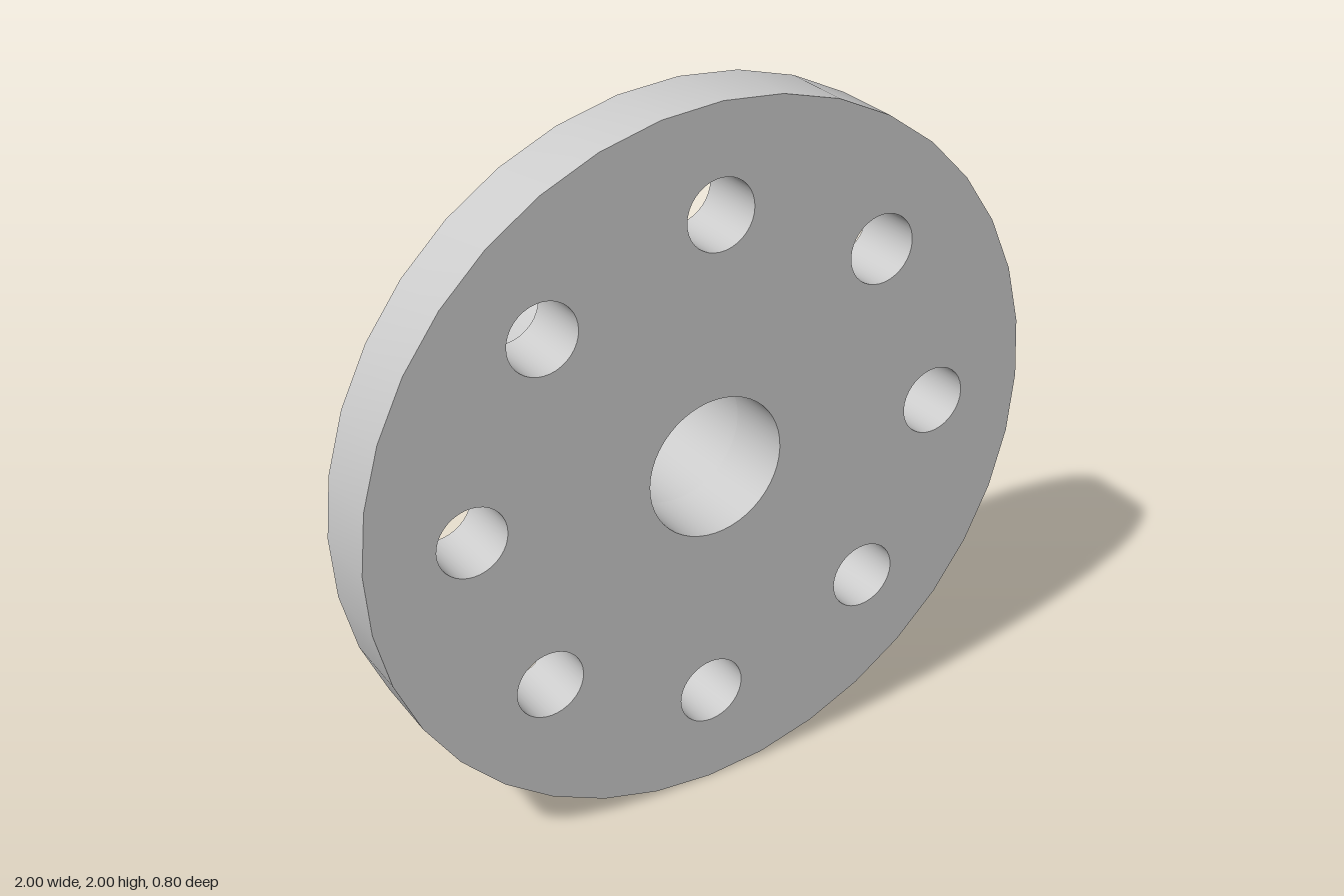
import * as THREE from 'three';
import { toCreasedNormals } from 'three/addons/utils/BufferGeometryUtils.js';

const CREASE = 0.6;

// Points of a regular polygon standing in for a circle
function circlePoints(cx, cy, radius, sides) {
  return Array.from({ length: sides }, (_, i) => {
    const a = (i / sides) * Math.PI * 2;
    return new THREE.Vector2(cx + radius * Math.cos(a), cy + radius * Math.sin(a));
  });
}

export function createModel() {
  const model = new THREE.Group();
  model.name = 'flangedHub';
  const material = new THREE.MeshStandardMaterial({ color: 0xcccccc });

  function addPart(name, geometry) {
    const mesh = new THREE.Mesh(toCreasedNormals(geometry, CREASE), material);
    mesh.name = name;
    mesh.position.y = 1;
    model.add(mesh);
  }

  // Flange: disc with a centre bore and a ring of eight bolt holes
  const disc = new THREE.Shape(circlePoints(0, 0, 1, 36));
  disc.holes.push(new THREE.Path(circlePoints(0, 0, 0.2, 48)));
  for (let i = 0; i < 8; i++) {
    const a = (i * Math.PI) / 4;
    const x = 0.707 * Math.cos(a), y = 0.707 * Math.sin(a);
    disc.holes.push(new THREE.Path(circlePoints(x, y, 0.098, 36)));
  }
  const flange = new THREE.ExtrudeGeometry(disc, { depth: 0.2, bevelEnabled: false });
  flange.translate(0, 0, 0.2);
  addPart('flange', flange);

  // Hub: hollow cylinder projecting from the back of the flange
  const profile = [[0.4, -0.2], [0.4, 0.4], [0.2, 0.4], [0.2, -0.2]];
  const hub = new THREE.LatheGeometry(profile.map(([r, h]) => new THREE.Vector2(r, h)), 48);
  hub.rotateX(-Math.PI / 2);
  addPart('hub', hub);

  return model;
}
